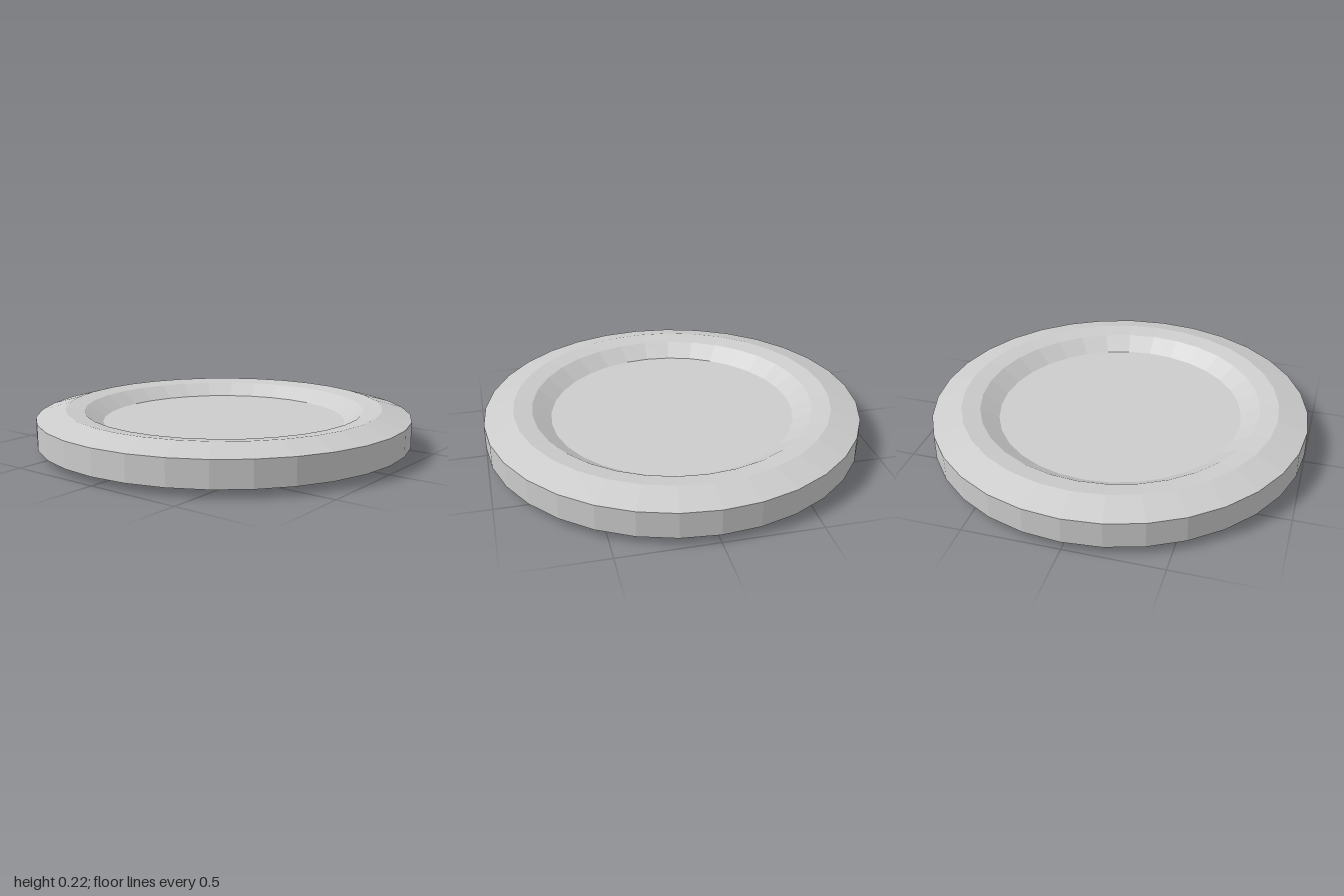
import * as THREE from 'three';

const SIDES = 32;
const HEIGHT = 0.223;

export function createModel() {
  const group = new THREE.Group();
  group.name = 'dishedDisc';
  const grey = new THREE.MeshStandardMaterial({ color: 0xcccccc, flatShading: true });
  grey.name = 'light grey';

  // Upper half of the rim, from the outer wall in to the sunken face: [radius, y]
  const upper = [[1, 0.18], [0.845, HEIGHT], [0.747, 0.21], [0.65, 0.147]];
  // The underside mirrors it
  const lower = upper.map(([r, y]) => [r, HEIGHT - y]).reverse();
  const profile = [...lower, ...upper].map(([r, y]) => new THREE.Vector2(r, y));
  const rim = new THREE.Mesh(new THREE.LatheGeometry(profile, SIDES), grey);
  rim.name = 'rim';
  group.add(rim);

  // Flat sunken faces, top and bottom
  const [innerRadius, faceY] = upper[upper.length - 1];
  for (const [name, y, tilt] of [['topFace', faceY, -1], ['bottomFace', HEIGHT - faceY, 1]]) {
    const face = new THREE.Mesh(new THREE.CircleGeometry(innerRadius, SIDES), grey);
    face.name = name;
    face.rotation.x = tilt * Math.PI / 2;
    face.position.y = y;
    group.add(face);
  }
  return group;
}
